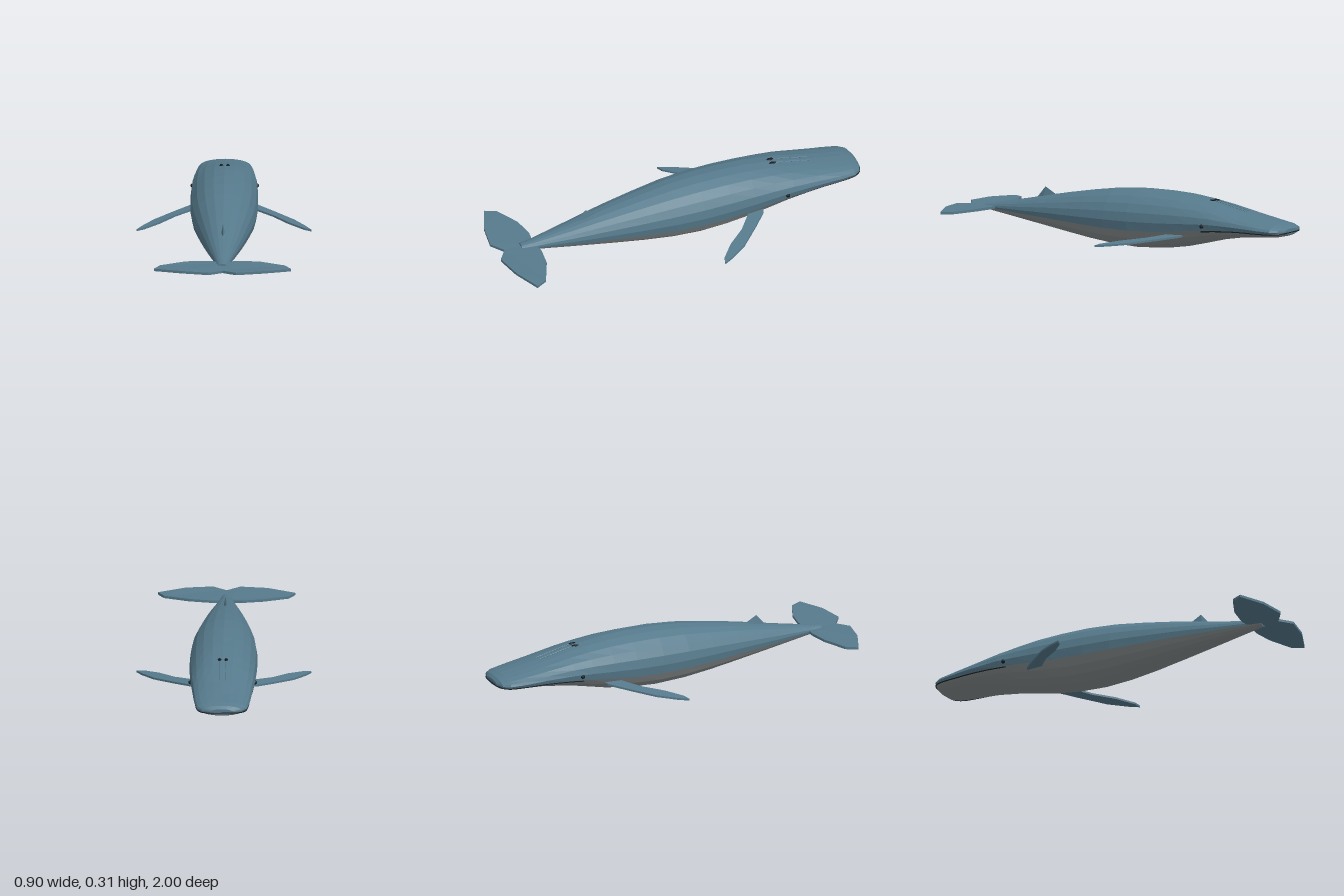
import * as THREE from 'three';

const mat = (name, color, flatShading = true) => {
  const m = new THREE.MeshStandardMaterial({ color, flatShading });
  m.name = name;
  return m;
};

// Body stations: z, half width, bottom y, top y (head at -z)
const STATIONS = [
  [-1, 0.06, 0.143, 0.172], [-0.985, 0.105, 0.133, 0.186], [-0.95, 0.13, 0.125, 0.197],
  [-0.87, 0.143, 0.118, 0.212], [-0.75, 0.153, 0.108, 0.236], [-0.6, 0.165, 0.083, 0.27],
  [-0.5, 0.169, 0.058, 0.287], [-0.38, 0.173, 0.03, 0.302], [-0.25, 0.174, 0.01, 0.309],
  [-0.1, 0.172, 0.001, 0.309], [0.05, 0.161, 0.008, 0.298], [0.2, 0.141, 0.025, 0.276],
  [0.35, 0.118, 0.047, 0.25], [0.5, 0.092, 0.07, 0.221], [0.6, 0.073, 0.085, 0.2],
  [0.7, 0.053, 0.1, 0.181], [0.8, 0.034, 0.115, 0.162], [0.86, 0.025, 0.124, 0.155],
];
const SIDES = 20;

// Point on the body skin at a length z and an angle around it
function skin(z, angle, lift = 0) {
  let i = 0;
  while (i < STATIONS.length - 2 && STATIONS[i + 1][0] < z) i++;
  const a = STATIONS[i], b = STATIONS[i + 1];
  const t = (z - a[0]) / (b[0] - a[0]);
  const [w, lo, hi] = [1, 2, 3].map(k => a[k] + (b[k] - a[k]) * t);
  return new THREE.Vector3(
    (w + lift) * Math.cos(angle),
    (lo + hi) / 2 + ((hi - lo) / 2 + lift) * Math.sin(angle), z);
}

function fromPoints(points) {
  const g = new THREE.BufferGeometry().setFromPoints(points);
  g.computeVertexNormals();
  return g;
}

// Strip of body skin between two side numbers, with optional end caps
function skinStrip(from, to, caps) {
  const pts = [];
  const at = (i, j) => skin(STATIONS[i][0], (j / SIDES) * Math.PI * 2);
  for (let i = 0; i < STATIONS.length - 1; i++) {
    for (let j = from; j < to; j++) {
      const a = at(i, j), b = at(i, j + 1), c = at(i + 1, j + 1), d = at(i + 1, j);
      pts.push(a, b, c, a, c, d);
    }
  }
  if (caps) {
    const n = STATIONS.length - 1;
    const mid = i => new THREE.Vector3(0, (STATIONS[i][2] + STATIONS[i][3]) / 2, STATIONS[i][0]);
    for (let j = 0; j < SIDES; j++) {
      pts.push(mid(0), at(0, j + 1), at(0, j), mid(n), at(n, j), at(n, j + 1));
    }
  }
  return fromPoints(pts);
}

// Flat plate from an x,z outline; height(x) gives its middle y
function plate(outline, thickness, height) {
  const shape = new THREE.Shape(outline.map(([x, z]) => new THREE.Vector2(x, -z)));
  const g = new THREE.ExtrudeGeometry(shape, { depth: thickness, bevelEnabled: false });
  g.rotateX(-Math.PI / 2);
  const p = g.attributes.position;
  for (let i = 0; i < p.count; i++) p.setY(i, p.getY(i) - thickness / 2 + height(p.getX(i)));
  g.computeVertexNormals();
  return g;
}

export function createModel() {
  const blue = mat('slate blue skin', 0x567a8c);
  const grey = mat('pale grey belly', 0x868c8c);
  const dark = mat('dark detail', 0x141c22);
  const model = new THREE.Group();
  model.name = 'whale';
  const add = (name, geometry, material) => {
    const m = new THREE.Mesh(geometry, material);
    m.name = name;
    model.add(m);
    return m;
  };

  // Body: blue back wraps over the sides, grey belly fills the underside
  add('back', skinStrip(-1, 11, true), blue);
  add('belly', skinStrip(11, 19, false), grey);

  // Dorsal fin: thin swept pyramid
  const V = (x, y, z) => new THREE.Vector3(x, y, z);
  const front = V(0, 0.228, 0.43), back = V(0, 0.203, 0.555), tip = V(0, 0.267, 0.5);
  const finL = V(0.011, 0.205, 0.51), finR = V(-0.011, 0.205, 0.51);
  add('dorsalFin', fromPoints([
    front, tip, finL, finL, tip, back, back, tip, finR, finR, tip, front,
    front, finL, finR, back, finR, finL,
  ]), blue);

  // Flippers and flukes in mirrored pairs
  const flipper = [[0.12, -0.44], [0.17, -0.42], [0.25, -0.345], [0.36, -0.235], [0.42, -0.145],
    [0.448, -0.09], [0.41, -0.102], [0.33, -0.17], [0.25, -0.265], [0.17, -0.33], [0.12, -0.355]];
  const fluke = [[0, 0.8], [0.03, 0.785], [0.08, 0.778], [0.19, 0.795], [0.32, 0.855],
    [0.352, 0.915], [0.21, 0.975], [0.07, 1], [0, 0.95]];
  for (const s of [1, -1]) {
    const side = s > 0 ? 'left' : 'right';
    const mirror = pts => pts.map(([x, z]) => [s * x, z]);
    add(side + 'Flipper', plate(mirror(flipper), 0.01, x => 0.124 - 0.14 * Math.abs(x)), blue);
    add(side + 'Fluke', plate(mirror(fluke), 0.013,
      x => 0.138 + 0.005 * Math.sin(Math.abs(x) * 9)), blue);

    // Eye
    const eye = add(side + 'Eye', new THREE.SphereGeometry(0.011, 8, 6), dark);
    eye.position.set(s * 0.165, 0.166, -0.56);

    // Blowhole with a fine ridge running forward
    const hole = add(side + 'Blowhole', new THREE.SphereGeometry(0.01, 8, 6), dark);
    hole.scale.set(1, 0.4, 2.1);
    hole.position.set(s * 0.017, 0.281, -0.535);
    const ridge = [-0.74, -0.67, -0.6, -0.55].map(z => skin(z, Math.PI / 2 - s * 0.1, 0.0005));
    add(side + 'HeadRidge', new THREE.TubeGeometry(new THREE.CatmullRomCurve3(ridge), 8, 0.002, 4), blue);

    // Mouth line along the jaw
    const jaw = [-0.55, -0.65, -0.75, -0.87, -0.95, -0.985, -1]
      .map(z => skin(z, s > 0 ? -0.36 : Math.PI + 0.36, 0.001));
    jaw.push(V(0, 0.152, -1.0));
    add(side + 'Mouth', new THREE.TubeGeometry(new THREE.CatmullRomCurve3(jaw), 28, 0.003, 5), dark);
  }
  return model;
}
